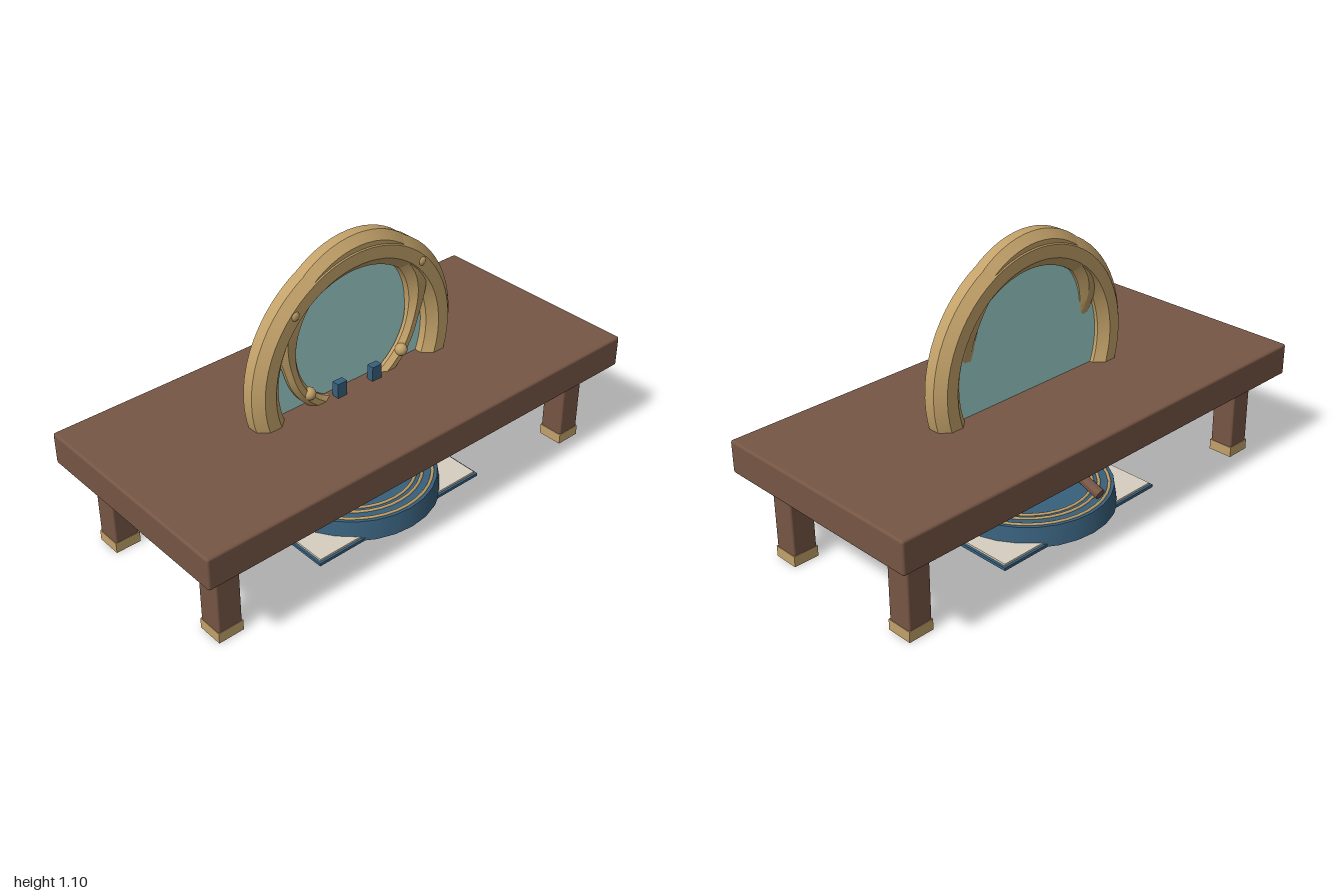
import * as THREE from 'three';
import { RoundedBoxGeometry } from 'three/addons/geometries/RoundedBoxGeometry.js';
import { toCreasedNormals } from 'three/addons/utils/BufferGeometryUtils.js';

const mat = (name, color, opts = {}) => {
  const m = new THREE.MeshStandardMaterial({ color, ...opts });
  m.name = name;
  return m;
};

export function createModel() {
  const root = new THREE.Group();
  const wood = mat('walnut wood', 0x765645);
  const darkWood = mat('dark wood', 0x573a35);
  const brass = mat('brass', 0xc2a169);
  const blue = mat('slate blue', 0x38607c);
  const cream = mat('cream', 0xd6cfc0);
  const teal = mat('pale teal glass', 0xa0d4cf, { side: THREE.DoubleSide });

  const add = (name, geo, material, x = 0, y = 0, z = 0, parent = root) => {
    const m = new THREE.Mesh(geo, material);
    m.name = name;
    m.position.set(x, y, z);
    parent.add(m);
    return m;
  };
  const box = (name, w, h, d, material, x, y, z) =>
    add(name, new THREE.BoxGeometry(w, h, d), material, x, y, z);
  const rounded = (name, w, h, d, r, material, x, y, z) =>
    add(name, new RoundedBoxGeometry(w, h, d, 2, r), material, x, y, z);
  const cyl = (r0, r1, h, n = 24) =>
    toCreasedNormals(new THREE.CylinderGeometry(r0, r1, h, n), 0.6);

  // Table: top, legs with brass feet, rails and three drawers
  rounded('tableTop', 2, 0.13, 0.91, 0.01, wood, 0, 0.41, 0);
  for (const sx of [-1, 1]) for (const sz of [-1, 1]) {
    rounded('leg', 0.1, 0.325, 0.1, 0.008, wood, sx * 0.86, 0.1825, sz * 0.31);
    box('legFoot', 0.104, 0.043, 0.104, brass, sx * 0.86, 0.0215, sz * 0.31);
  }
  for (const sz of [-1, 1])
    box('rail', 1.62, 0.045, 0.04, darkWood, 0, 0.324, sz * 0.305);
  for (const x of [-0.575, 0, 0.575]) {
    rounded('drawer', 0.51, 0.092, 0.04, 0.005, wood, x, 0.285, 0.33);
    box('drawerHandle', 0.1, 0.01, 0.02, brass, x, 0.283, 0.36);
  }

  // Large octagonal ring frame standing through the table
  const octagonRing = (radius, tube, depth) => {
    const pts = [];
    for (let i = 0; i <= 8; i++) {
      const a = (i + 0.5) * Math.PI / 4;
      const k = 1 / Math.cos(Math.PI / 8);
      pts.push(new THREE.Vector2(radius + Math.cos(a) * tube * k, Math.sin(a) * depth * k));
    }
    return new THREE.LatheGeometry(pts, 64).rotateX(Math.PI / 2);
  };
  add('largeRing', toCreasedNormals(octagonRing(0.42, 0.06, 0.055), 0.4), brass, 0, 0.6, 0);

  // Smaller upper ring, slimmer and flat-backed toward the bottom
  const small = octagonRing(0.326, 0.054, 0.051);
  const p = small.attributes.position;
  for (let i = 0; i < p.count; i++) {
    const x = p.getX(i), y = p.getY(i), z = p.getZ(i);
    const t = THREE.MathUtils.smoothstep(y, -0.1, 0.17);
    const r = Math.hypot(x, y);
    const k = (0.272 + (r - 0.272) * (0.5 + 0.5 * t)) / r;
    p.setXYZ(i, x * k, y * k, z < 0 ? z * t : z * (0.7 + 0.3 * t));
  }
  small.computeVertexNormals();
  add('smallRing', toCreasedNormals(small, 0.4), brass, 0, 0.72, 0);

  // Glass pane, cut off inside the table top
  const pane = new THREE.Shape();
  pane.absarc(0, 0.61, 0.375, -0.6, Math.PI + 0.6, false);
  add('glassPane', new THREE.ShapeGeometry(pane, 32), teal, 0, 0, -0.008);

  // Studs on the rings and twin posts before the glass
  for (const s of [-1, 1]) {
    const stud = new THREE.SphereGeometry(0.025, 12, 8);
    add('upperStud', stud, brass, s * 0.3, 0.9, 0.038);
    add('lowerStud', stud, brass, s * 0.225, 0.54, 0.03);
    box('post', 0.044, 0.19, 0.03, blue, s * 0.085, 0.44, 0.035);
  }

  // Floor plate with cream top and round base with brass trim
  box('floorPlate', 0.81, 0.012, 0.58, blue, 0, 0.006, 0);
  box('floorPlateTop', 0.79, 0.008, 0.56, cream, 0, 0.016, 0);
  add('roundBase', cyl(0.335, 0.348, 0.08, 28), blue, 0, 0.041, 0);
  for (const r of [0.25, 0.275, 0.315])
    add('baseTrim', new THREE.TorusGeometry(r, 0.007, 6, 40).rotateX(Math.PI / 2), brass, 0, 0.08, 0);

  // Pedestal with four splayed struts
  add('pedestal', cyl(0.035, 0.042, 0.2), blue, 0, 0.18, 0);
  for (const sx of [-1, 1]) for (const sz of [-1, 1]) {
    const path = new THREE.LineCurve3(
      new THREE.Vector3(sx * 0.105, 0.075, sz * 0.095),
      new THREE.Vector3(sx * 0.04, 0.19, sz * 0.035));
    add('strut', new THREE.TubeGeometry(path, 1, 0.014, 10), blue);
  }
  for (const y of [0.14, 0.27])
    box('pedestalPeg', 0.04, 0.02, 0.09, wood, 0, y, 0.07);

  // Telescope, tilted; its local axis runs along z
  const scope = new THREE.Group();
  scope.name = 'telescope';
  scope.position.set(0, 0.295, -0.05);
  scope.rotation.x = -0.35;
  root.add(scope);
  const section = (name, r, z0, z1, material) =>
    add(name, cyl(r, r, z1 - z0).rotateX(Math.PI / 2), material, 0, 0, (z0 + z1) / 2, scope);
  section('scopeBarrel', 0.049, -0.22, 0.08, blue);
  section('scopeDrawTube', 0.034, 0.08, 0.2, blue);
  section('scopeRearCollar', 0.055, -0.215, -0.175, brass);
  section('scopeMiddleCollar', 0.04, 0.08, 0.11, brass);
  section('scopeFrontCollar', 0.038, 0.19, 0.22, brass);
  section('scopeEyepiece', 0.021, -0.345, -0.22, wood);

  return root;
}
